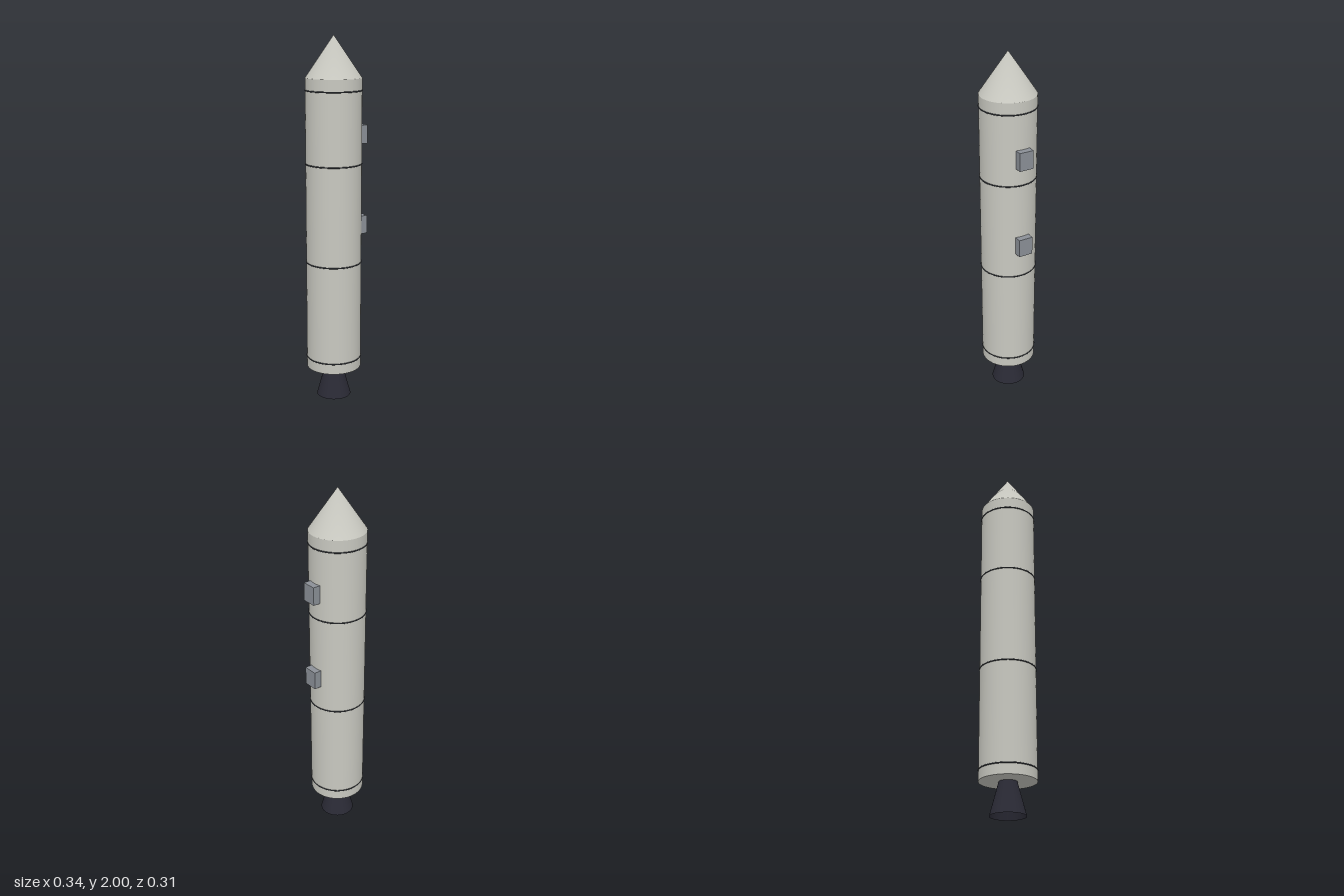
import * as THREE from 'three';
import { mergeVertices } from 'three/addons/utils/BufferGeometryUtils.js';

const mat = (name, color, extra = {}) => new THREE.MeshStandardMaterial({ name, color, ...extra });

export function createModel() {
  const hull = mat('hull', 0xc8c8c0);
  const seam = mat('seam', 0x3a3d42);
  const fitting = mat('fitting', 0x8a8f96);
  const engine = mat('engine', 0x2a2a35, { side: THREE.DoubleSide });

  const rocket = new THREE.Group();
  rocket.name = 'rocket';
  const axisX = -0.017, radius = 0.151, base = 0.175, shoulder = 1.78;

  const add = (name, geometry, material, x, y) => {
    const mesh = new THREE.Mesh(geometry, material);
    mesh.name = name;
    mesh.position.set(x, y, 0);
    rocket.add(mesh);
    return mesh;
  };

  // Main tube
  add('body', new THREE.CylinderGeometry(radius, radius, shoulder - base, 48), hull,
    axisX, (shoulder + base) / 2);

  // Nose cone, its normals blending smoothly up to the tip
  const cone = new THREE.ConeGeometry(radius, 2 - shoulder, 48, 1, true);
  cone.deleteAttribute('uv');
  cone.deleteAttribute('normal');
  const nose = mergeVertices(cone, 1e-4);
  nose.computeVertexNormals();
  add('noseCone', nose, hull, axisX, (2 + shoulder) / 2);

  // Seam rings around the tube
  for (const y of [0.233, 0.783, 1.327, 1.716]) {
    const ring = add('seamRing', new THREE.TorusGeometry(0.15, 0.004, 8, 48), seam, axisX, y);
    ring.rotation.x = Math.PI / 2;
  }

  // Mounting blocks on the left side
  for (const y of [0.977, 1.477]) {
    add('mountingBlock', new THREE.BoxGeometry(0.06, 0.1, 0.08), fitting, 0.14, y);
  }

  // Open engine bell
  add('engineBell', new THREE.CylinderGeometry(0.048, 0.095, base, 40, 1, true), engine,
    axisX, base / 2);

  return rocket;
}
